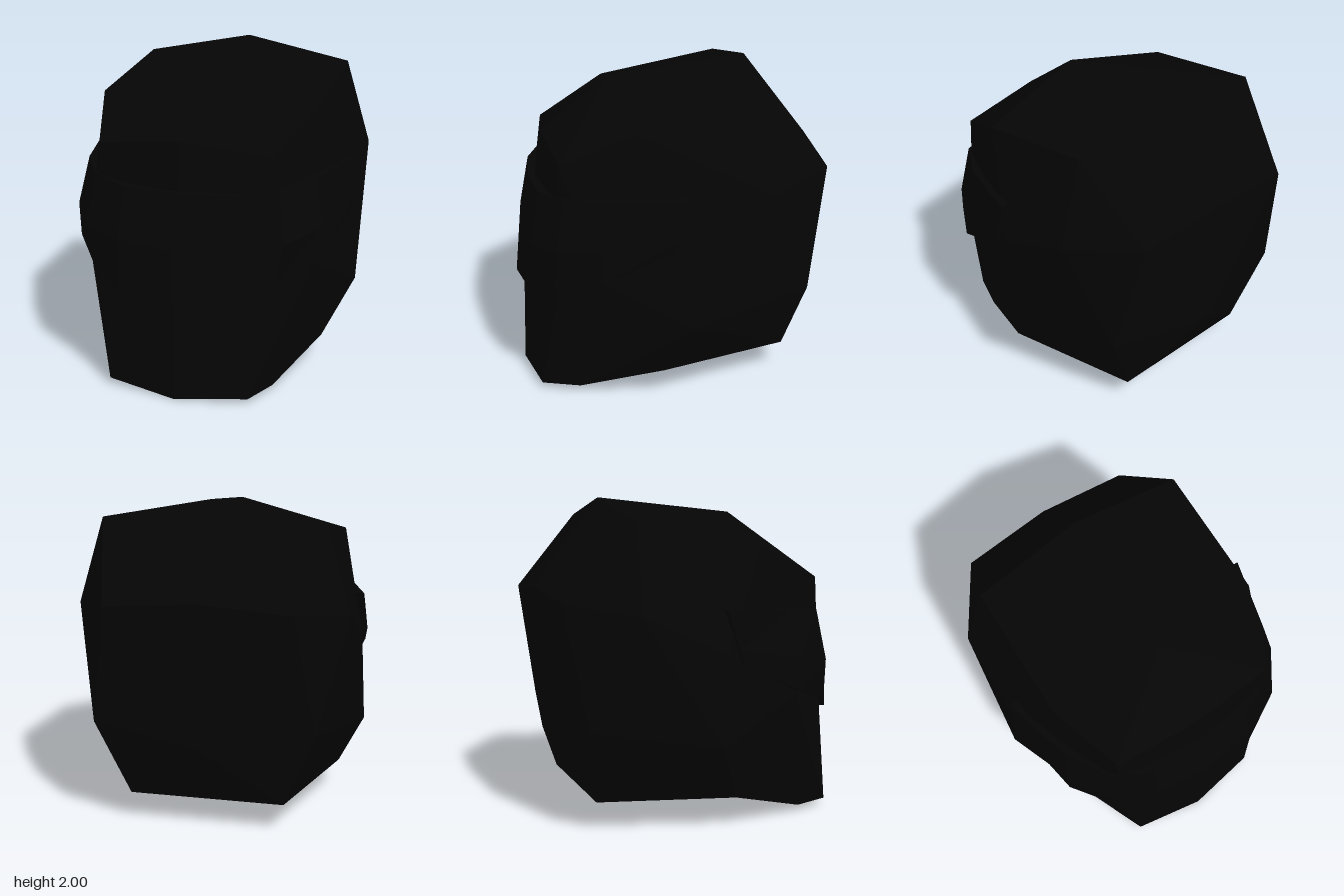
import * as THREE from 'three';
import { ConvexGeometry } from 'three/addons/geometries/ConvexGeometry.js';

const v = (p) => new THREE.Vector3(...p);

// Faceted solid from one half of its corners, mirrored across x = 0
function facetedHalf(points) {
  const all = [];
  for (const [x, y, z] of points) {
    all.push(v([x, y, z]));
    if (x > 0) all.push(v([-x, y, z]));
  }
  return new ConvexGeometry(all);
}

// Corners shared by the skull shell and the jaw
const cheeks = [
  [0, 0.65, 0.91], [0.56, 0.74, 0.75], [0.74, 0.82, 0.5],
  [0.885, 0.55, -0.03], [0.71, 0.19, 0.12], [0, 0.19, 0.12],
];

const shellPoints = [
  ...cheeks,
  // forehead and crown
  [0, 1.57, 0.77], [0.54, 1.51, 0.72],
  [0, 1.9, 0.35], [0.7, 1.73, 0.28],
  [0, 2, -0.53], [0.685, 1.87, -0.5],
  // temples
  [0.84, 1.34, -0.52], [0.855, 1.1, 0],
  // back of the head and nape
  [0, 1.46, -0.95], [0.565, 1.41, -0.92],
  [0, 0.57, -0.91], [0.68, 0.66, -0.79],
  [0, 0.18, -0.7], [0.48, 0.18, -0.7],
];

const jawPoints = [
  ...cheeks,
  [0, 0, 0.93], [0.45, 0.04, 0.86], [0.535, 0.04, 0.63],
];

// Visor band: each column runs top, middle, bottom, from the centre outwards
const visorColumns = [
  [[0, 1.28, 0.86], [0, 0.95, 0.93], [0, 0.64, 0.96]],
  [[0.34, 1.29, 0.83], [0.36, 0.97, 0.89], [0.36, 0.64, 0.9]],
  [[0.58, 1.32, 0.71], [0.63, 1.0, 0.76], [0.57, 0.74, 0.78]],
  [[0.74, 1.34, 0.45], [0.79, 1.05, 0.52], [0.78, 0.84, 0.52]],
  [[0.86, 1.36, 0], [0.88, 1.12, 0.07], [0.865, 1.04, 0.1]],
  [[0.78, 1.36, 0], [0.8, 1.12, 0.07], [0.8, 1.04, 0.1]],
];

function visorGeometry() {
  // Add rims that turn inwards at the top and bottom edges
  const rim = ([x, y, z]) => [x * 0.9, y, z * 0.9];
  const half = visorColumns.map((c) => [rim(c[0]), ...c, rim(c[2])]);
  const mirrored = half.slice(1).reverse()
    .map((c) => c.map(([x, y, z]) => [-x, y, z]));
  const columns = [...mirrored, ...half];

  const pos = [];
  for (let i = 0; i < columns.length - 1; i++) {
    for (let j = 0; j < 4; j++) {
      const a = columns[i][j], b = columns[i + 1][j];
      const c = columns[i + 1][j + 1], d = columns[i][j + 1];
      pos.push(...d, ...c, ...b, ...d, ...b, ...a);
    }
  }
  const geo = new THREE.BufferGeometry();
  geo.setAttribute('position', new THREE.Float32BufferAttribute(pos, 3));
  geo.computeVertexNormals();
  return geo;
}

export function createModel() {
  const group = new THREE.Group();
  group.name = 'helmet';

  const black = new THREE.MeshStandardMaterial({ color: 0x050505, side: THREE.DoubleSide });
  black.name = 'black';

  const add = (name, geometry) => {
    const mesh = new THREE.Mesh(geometry, black);
    mesh.name = name;
    group.add(mesh);
  };

  add('shell', facetedHalf(shellPoints));
  add('jawGuard', facetedHalf(jawPoints));
  add('visor', visorGeometry());

  return group;
}
